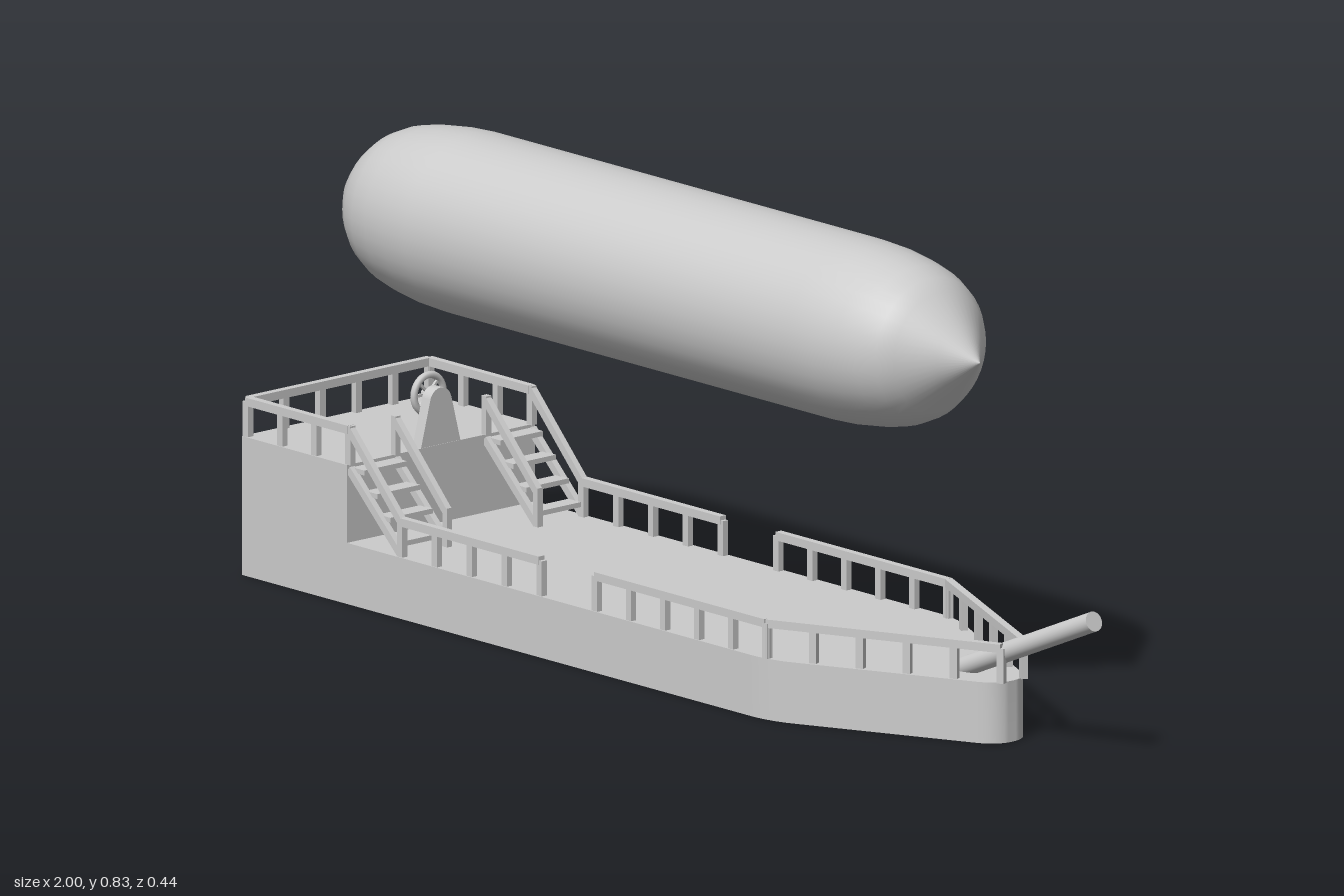
import * as THREE from 'three';
import { toCreasedNormals } from 'three/addons/utils/BufferGeometryUtils.js';

const grey = new THREE.MeshStandardMaterial({ color: 0xcccccc });
const DECK = 0.11, POOP = 0.25, RAIL = 0.07, HALF = 0.22;

function add(parent, name, geometry, x = 0, y = 0, z = 0) {
  const mesh = new THREE.Mesh(geometry, grey);
  mesh.name = name;
  mesh.position.set(x, y, z);
  parent.add(mesh);
  return mesh;
}

// Rectangular bar between two points
function beam(parent, name, a, b, width, height) {
  const from = new THREE.Vector3(...a), to = new THREE.Vector3(...b);
  const mesh = add(parent, name, new THREE.BoxGeometry(width, height, from.distanceTo(to)));
  mesh.position.copy(from).add(to).multiplyScalar(0.5);
  mesh.lookAt(to);
  return mesh;
}

// Handrail on evenly spaced posts, from a to b along the deck
function railing(parent, name, a, b, bays) {
  const group = new THREE.Group();
  group.name = name;
  parent.add(group);
  const up = RAIL - 0.007;
  beam(group, 'handrail', [a[0], a[1] + up, a[2]], [b[0], b[1] + up, b[2]], 0.014, 0.015);
  const angle = Math.atan2(-(b[2] - a[2]), b[0] - a[0]);
  for (let i = 0; i <= bays; i++) {
    const p = a.map((v, k) => v + (b[k] - v) * i / bays);
    add(group, 'post', new THREE.BoxGeometry(0.014, up, 0.012), p[0], p[1] + up / 2, p[2]).rotation.y = angle;
  }
}

// Open ladder stairs with stringers and handrails on both sides
function stairs(parent, side) {
  const group = new THREE.Group();
  group.name = side > 0 ? 'leftStairs' : 'rightStairs';
  parent.add(group);
  const top = -0.725, foot = -0.59;
  for (const z of [0.106, 0.212]) {
    beam(group, 'stringer', [top, POOP - 0.008, side * z], [foot, DECK + 0.004, side * z], 0.012, 0.014);
    beam(group, 'stairHandrail', [top, POOP + 0.063, side * z], [foot, DECK + 0.063, side * z], 0.012, 0.014);
    add(group, 'topPost', new THREE.BoxGeometry(0.012, RAIL, 0.012), top, POOP + RAIL / 2, side * z);
    add(group, 'footPost', new THREE.BoxGeometry(0.012, RAIL, 0.012), foot, DECK + RAIL / 2, side * z);
  }
  for (let i = 0; i < 4; i++) {
    add(group, 'tread', new THREE.BoxGeometry(0.032, 0.009, 0.1),
      -0.708 + i * 0.034, 0.24 - i * 0.036, side * 0.159);
  }
}

export function createModel() {
  const model = new THREE.Group();
  model.name = 'airship';

  // Gas envelope: pointed ends on a long cylinder
  const profile = [[0, -0.975], [0.055, -0.92], [0.108, -0.863], [0.128, -0.835], [0.143, -0.8],
    [0.153, -0.755], [0.16, -0.7], [0.163, -0.64], [0.163, 0.36], [0.16, 0.42], [0.153, 0.475],
    [0.143, 0.52], [0.128, 0.555], [0.108, 0.58], [0.055, 0.632], [0, 0.685]]
    .map(([r, h]) => new THREE.Vector2(r, h));
  add(model, 'envelope', new THREE.LatheGeometry(profile, 40), 0, 0.665, 0).rotation.z = -Math.PI / 2;

  // Flat hull with tapered, rounded bow
  const plan = new THREE.Shape();
  plan.moveTo(-1, -HALF);
  plan.lineTo(0.33, -HALF);
  plan.quadraticCurveTo(0.38, -HALF, 0.425, -0.198);
  plan.lineTo(0.735, -0.052);
  plan.quadraticCurveTo(0.77, -0.035, 0.77, 0);
  plan.quadraticCurveTo(0.77, 0.035, 0.735, 0.052);
  plan.lineTo(0.425, 0.198);
  plan.quadraticCurveTo(0.38, HALF, 0.33, HALF);
  plan.lineTo(-1, HALF);
  plan.closePath();
  const hull = new THREE.ExtrudeGeometry(plan, { depth: DECK, bevelEnabled: false, curveSegments: 8 });
  hull.rotateX(-Math.PI / 2);
  add(model, 'hull', toCreasedNormals(hull, 0.6));

  // Raised stern deck
  add(model, 'sternDeck', new THREE.BoxGeometry(0.275, POOP - DECK, HALF * 2), -0.8625, (POOP + DECK) / 2, 0);

  // Railings and stairs
  railing(model, 'sternRailing', [-0.993, POOP, -0.212], [-0.993, POOP, 0.212], 5);
  for (const s of [1, -1]) {
    const z = s * 0.212;
    railing(model, 'sternSideRailing', [-0.993, POOP, z], [-0.725, POOP, z], 3);
    railing(model, 'aftRailing', [-0.59, DECK, z], [-0.225, DECK, z], 4);
    railing(model, 'midRailing', [-0.08, DECK, z], [0.365, DECK, z], 5);
    railing(model, 'bowRailing', [0.365, DECK, z], [0.77, DECK, s * 0.026], 5);
    stairs(model, s);
  }

  // Steering stand and wheel
  const helm = new THREE.Group();
  helm.name = 'helm';
  model.add(helm);
  const stand = new THREE.Shape();
  stand.moveTo(-0.046, 0);
  stand.lineTo(0.046, 0);
  stand.lineTo(0.025, 0.082);
  stand.absarc(0, 0.077, 0.025, 0.2, Math.PI - 0.2, false);
  stand.closePath();
  const standGeometry = new THREE.ExtrudeGeometry(stand, { depth: 0.022, bevelEnabled: false });
  add(helm, 'wheelStand', standGeometry, -0.748, POOP, 0).rotation.y = Math.PI / 2;
  add(helm, 'wheelRim', new THREE.TorusGeometry(0.034, 0.0065, 8, 32), -0.758, 0.335, 0).rotation.y = Math.PI / 2;
  for (let i = 0; i < 4; i++) {
    add(helm, 'wheelSpoke', new THREE.BoxGeometry(0.005, 0.066, 0.005), -0.758, 0.335, 0)
      .rotation.x = i * Math.PI / 4;
  }
  add(helm, 'wheelAxle', new THREE.CylinderGeometry(0.008, 0.008, 0.03, 16), -0.754, 0.335, 0)
    .rotation.z = Math.PI / 2;

  // Bowsprit
  const foot = new THREE.Vector3(0.655, 0.115, 0.008), tip = new THREE.Vector3(0.992, 0.26, 0.008);
  const sprit = new THREE.CylinderGeometry(0.018, 0.018, foot.distanceTo(tip), 24);
  const bowsprit = add(model, 'bowsprit', sprit);
  bowsprit.position.copy(foot).add(tip).multiplyScalar(0.5);
  bowsprit.quaternion.setFromUnitVectors(new THREE.Vector3(0, 1, 0), tip.clone().sub(foot).normalize());

  return model;
}
